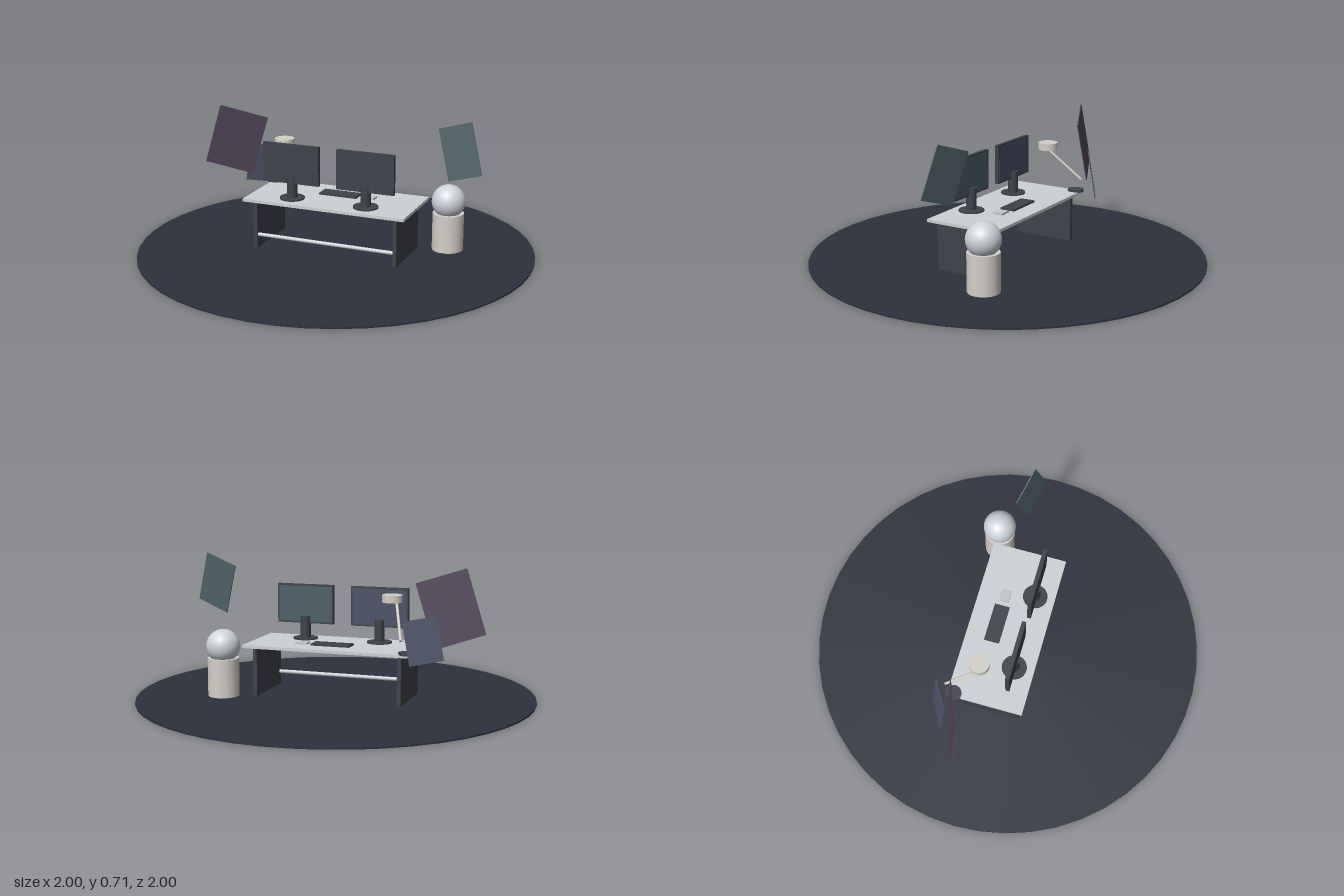
import * as THREE from 'three';

const mat = (color, extra = {}) => new THREE.MeshStandardMaterial({ color, ...extra });
const V = (x, y, z) => new THREE.Vector3(x, y, z);

export function createModel() {
  const model = new THREE.Group();
  model.name = 'deskScene';
  const dark = mat(0x3e424a);
  const pale = mat(0xcdd2d5);
  const warm = mat(0xd3cfc8);

  const add = (name, geometry, material, x, y, z, parent = model) => {
    const mesh = new THREE.Mesh(geometry, material);
    mesh.name = name;
    mesh.position.set(x, y, z);
    parent.add(mesh);
    return mesh;
  };
  const box = (w, h, d) => new THREE.BoxGeometry(w, h, d);
  const disc = (r, h, sides = 24) => new THREE.CylinderGeometry(r, r, h, sides);

  // Round floor
  add('floor', disc(1, 0.008, 48), mat(0x2d313c), 0, 0.004, 0);

  // Desk: top, side panels and the rail between them
  const desk = new THREE.Group();
  desk.name = 'desk';
  model.add(desk);
  add('deskTop', box(0.855, 0.015, 0.388), pale, 0, 0.262, -0.002, desk);
  for (const side of [-1, 1])
    add(side > 0 ? 'leftLeg' : 'rightLeg', box(0.02, 0.255, 0.325), dark, side * 0.373, 0.1275, 0, desk);
  const rail = add('rail', disc(0.01, 0.73, 8), pale, 0, 0.075, 0.148, desk);
  rail.rotation.z = Math.PI / 2;

  // Two monitors, screens towards the back
  for (const [name, x, color] of [['rightMonitor', -0.2, 0x4a5168], ['leftMonitor', 0.195, 0x4a5f66]]) {
    const monitor = new THREE.Group();
    monitor.name = name;
    monitor.position.set(x, 0, 0.09);
    model.add(monitor);
    add('base', disc(0.063, 0.008), dark, 0, 0.273, 0, monitor);
    add('stand', disc(0.026, 0.115, 16), dark, 0, 0.33, 0, monitor);
    add('housing', box(0.3, 0.2, 0.02), dark, 0, 0.45, 0.006, monitor);
    add('screen', box(0.282, 0.182, 0.003), mat(color), 0, 0.45, -0.0045, monitor);
  }

  // Keyboard and mouse
  add('keyboard', box(0.2, 0.01, 0.078), dark, 0, 0.274, -0.058);
  add('mouse', box(0.063, 0.01, 0.05), mat(0xc3c6ca), 0.158, 0.274, -0.058);

  // Desk lamp: base, slanted arm, round head
  const lamp = new THREE.Group();
  lamp.name = 'lamp';
  model.add(lamp);
  add('lampBase', disc(0.041, 0.012), dark, -0.412, 0.272, -0.165, lamp);
  const low = V(-0.393, 0.338, -0.207), high = V(-0.328, 0.49, -0.048);
  const arm = add('lampArm', disc(0.007, low.distanceTo(high), 12), warm, 0, 0, 0, lamp);
  arm.position.copy(low).add(high).multiplyScalar(0.5);
  arm.quaternion.setFromUnitVectors(V(0, 1, 0), high.clone().sub(low).normalize());
  add('lampHead', disc(0.05, 0.036), mat(0xd3d0c6), -0.307, 0.518, -0.055, lamp);

  // Pedestal with ball
  add('pedestal', disc(0.079, 0.2, 24), warm, 0.53, 0.1, -0.195);
  add('ball', new THREE.SphereGeometry(0.085, 32, 20), mat(0xcfd4da), 0.53, 0.26, -0.195);

  // Floating thin panels, each laid out from three of its corners
  const panel = (name, topLeft, topRight, bottomLeft, color) => {
    const u = topRight.clone().sub(topLeft);
    const v = topLeft.clone().sub(bottomLeft);
    const w = u.length(), h = v.length();
    u.normalize();
    v.addScaledVector(u, -v.dot(u)).normalize();
    const n = u.clone().cross(v);
    const mesh = add(name, box(w, h, 0.005), mat(color), 0, 0, 0);
    mesh.position.copy(topRight).add(bottomLeft).multiplyScalar(0.5);
    mesh.quaternion.setFromRotationMatrix(new THREE.Matrix4().makeBasis(u, v, n));
  };
  panel('largePanel', V(-0.676, 0.679, -0.05), V(-0.452, 0.61, -0.15), V(-0.767, 0.364, -0.06), 0x51465a);
  panel('smallPanel', V(-0.559, 0.46, -0.158), V(-0.414, 0.438, -0.243), V(-0.591, 0.251, -0.18), 0x4f566a);
  panel('leftPanel', V(0.5, 0.652, -0.098), V(0.676, 0.711, -0.052), V(0.57, 0.406, -0.052), 0x52656b);

  return model;
}
